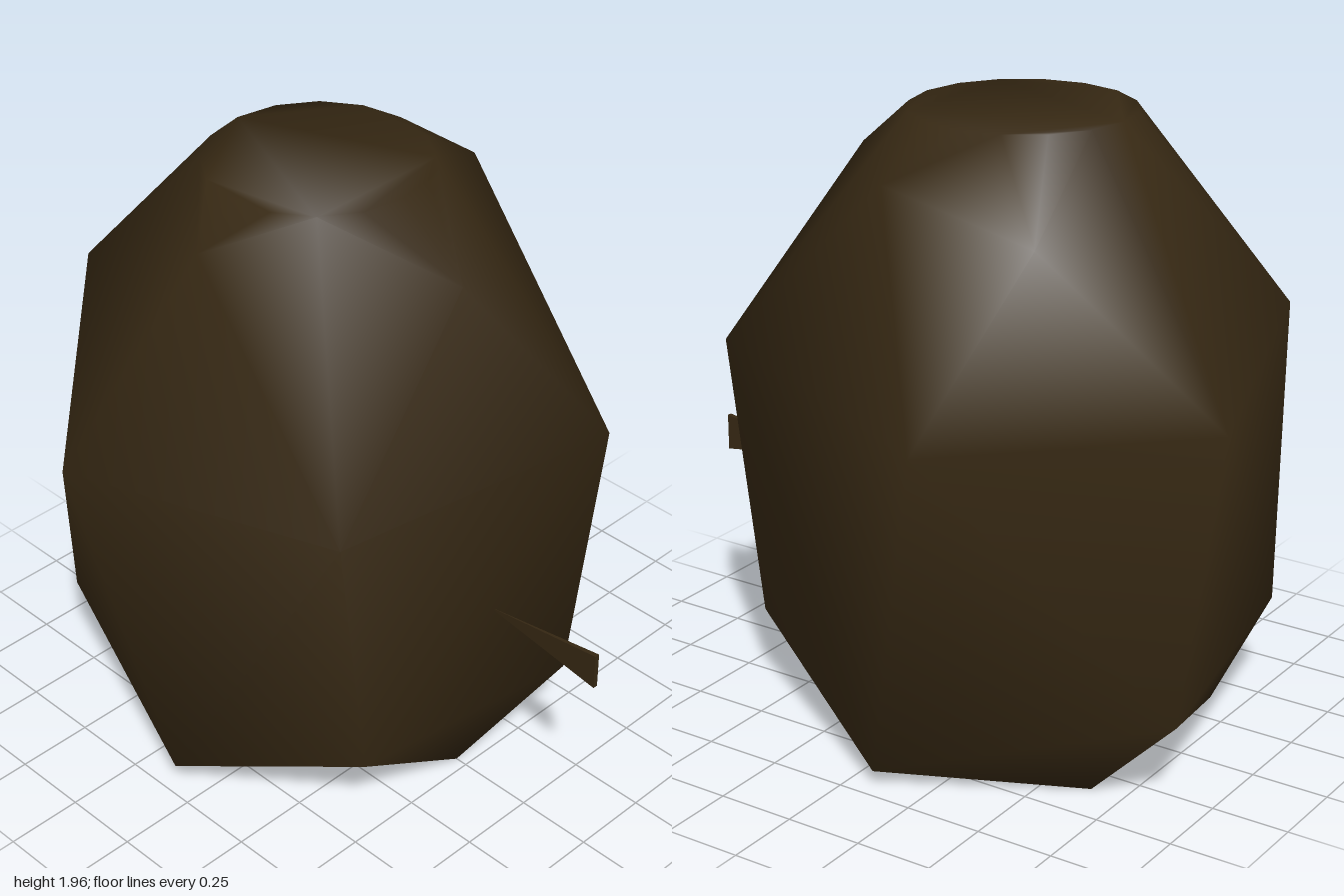
import * as THREE from 'three';
import { mergeVertices } from 'three/addons/utils/BufferGeometryUtils.js';
import { ConvexGeometry } from 'three/addons/geometries/ConvexGeometry.js';

const darkBrown = new THREE.MeshStandardMaterial({ color: 0x362813 });
darkBrown.name = 'darkBrown';

// Rounded, faceted outline with smooth shading
function makeBody() {
  const rings = [
    // underside
    [[0.46, 0, 0], [-0.085, 0.05, -0.7], [-0.64, 0, -0.35], [-0.64, 0, 0.38], [-0.085, 0.08, 0.72]],
    // lower corners
    [[0.6, 0.27, -0.34], [0.51, 0.3, 0.47], [-0.77, 0.33, 0.53], [-0.93, 0.29, -0.36]],
    // widest girth
    [[0.675, 1.19, -0.4], [0.51, 1.18, 0.57], [-0.35, 1.17, 0.87],
      [-0.92, 1.42, 0.27], [-1, 1.17, -0.23], [-0.35, 1.17, -0.875]],
    // shoulders
    [[0.43, 1.77, 0], [-0.1, 1.88, 0.53], [-0.5, 1.69, -0.47], [-0.02, 1.82, -0.53]],
  ];
  const points = rings.flat().map((p) => new THREE.Vector3(...p));
  // flat round top
  for (let i = 0; i < 16; i++) {
    const a = (i / 16) * Math.PI * 2;
    points.push(new THREE.Vector3(-0.155 + 0.345 * Math.cos(a), 1.96, 0.345 * Math.sin(a)));
  }
  let geometry = new ConvexGeometry(points);
  geometry.deleteAttribute('normal');
  geometry = mergeVertices(geometry, 1e-4);
  geometry.computeVertexNormals();
  return geometry;
}

// Thin wedge with its point sunk into the body, widening outwards
function makeSpike() {
  let geometry = new THREE.ConeGeometry(0.06 * Math.SQRT2, 0.43, 4, 1, false, Math.PI / 4);
  geometry.rotateZ(Math.PI / 2);
  geometry.scale(1, 1, 0.13);
  geometry.translate(0.785, 0.69, -0.004);
  geometry = geometry.toNonIndexed();
  geometry.computeVertexNormals();
  return geometry;
}

export function createModel() {
  const group = new THREE.Group();
  const parts = { body: makeBody(), spike: makeSpike() };
  for (const [name, geometry] of Object.entries(parts)) {
    const mesh = new THREE.Mesh(geometry, darkBrown);
    mesh.name = name;
    group.add(mesh);
  }
  return group;
}
